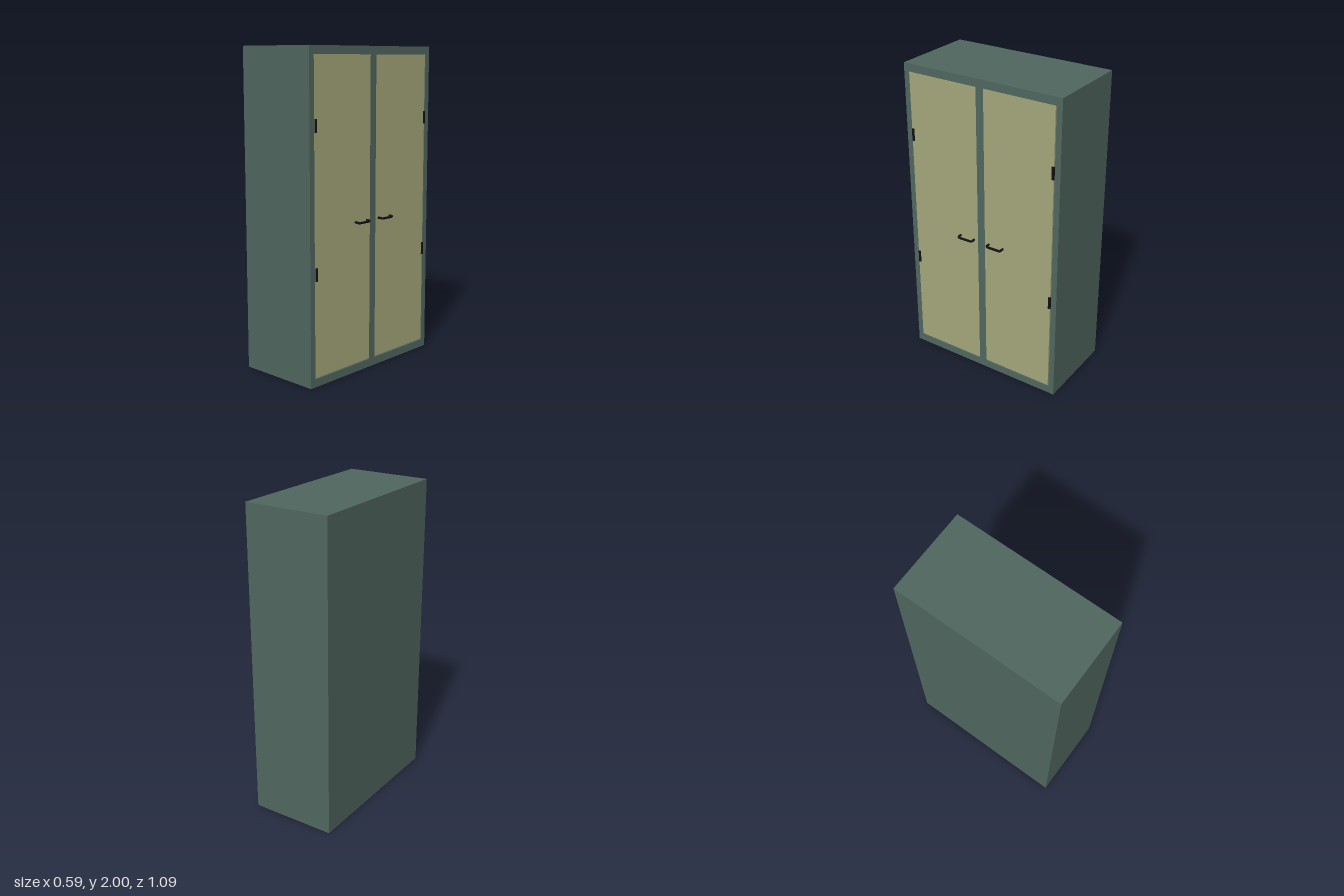
import * as THREE from 'three';

const mat = (color) => new THREE.MeshStandardMaterial({ color });

export function createModel() {
  const model = new THREE.Group();
  const green = mat(0x50665f), olive = mat(0xa3a779), black = mat(0x111113);
  const frontX = 0.26, backX = -0.297, halfW = 0.545, frameDepth = 0.02;

  const add = (name, geometry, material, x = 0, y = 0, z = 0) => {
    const mesh = new THREE.Mesh(geometry, material);
    mesh.name = name;
    mesh.position.set(x, y, z);
    model.add(mesh);
    return mesh;
  };
  const rect = (Type, u0, y0, u1, y1) => {
    const s = new Type();
    s.moveTo(u0, y0);
    s.lineTo(u1, y0);
    s.lineTo(u1, y1);
    s.lineTo(u0, y1);
    s.closePath();
    return s;
  };

  // Cabinet body behind the door frame
  const depth = frontX - frameDepth - backX;
  add('body', new THREE.BoxGeometry(depth, 2, halfW * 2), green, backX + depth / 2, 1, 0);

  // Frame with two door openings, turned to face +x
  const frame = rect(THREE.Shape, -halfW, 0, halfW, 2);
  frame.holes.push(rect(THREE.Path, -0.508, 0.05, -0.026, 1.95));
  frame.holes.push(rect(THREE.Path, 0.026, 0.05, 0.508, 1.95));
  const frameMesh = add('doorFrame',
    new THREE.ExtrudeGeometry(frame, { depth: frameDepth, bevelEnabled: false }),
    green, frontX - frameDepth);
  frameMesh.rotation.y = Math.PI / 2;

  for (const side of [1, -1]) {
    const label = side > 0 ? 'left' : 'right';

    // Flush door panel, with a narrow gap at the bottom
    const outer = side > 0 ? 0.508 : 0.502;
    add(label + 'Door', new THREE.BoxGeometry(frameDepth, 1.893, outer - 0.026), olive,
      frontX - frameDepth / 2, 1.0035, side * (outer + 0.026) / 2);

    // Hinges on the outer edge
    for (const y of [0.685, 1.55]) {
      add(label + 'Hinge', new THREE.BoxGeometry(0.014, 0.08, 0.014), black,
        frontX, y, side * 0.498);
    }

    // Bent pull handle that dips slightly as it leaves the door
    const p = (x, y, z) => new THREE.Vector3(x, y, side * z);
    const path = new THREE.CurvePath();
    const a = p(0.25, 0.95, 0.055), b = p(0.278, 0.949, 0.055);
    const c = p(0.288, 0.946, 0.065), d = p(0.288, 0.946, 0.148);
    const e = p(0.278, 0.949, 0.158), f = p(0.25, 0.95, 0.158);
    path.add(new THREE.LineCurve3(a, b));
    path.add(new THREE.QuadraticBezierCurve3(b, p(0.288, 0.947, 0.055), c));
    path.add(new THREE.LineCurve3(c, d));
    path.add(new THREE.QuadraticBezierCurve3(d, p(0.288, 0.947, 0.158), e));
    path.add(new THREE.LineCurve3(e, f));
    add(label + 'Handle', new THREE.TubeGeometry(path, 48, 0.0075, 10), black);
  }
  return model;
}
